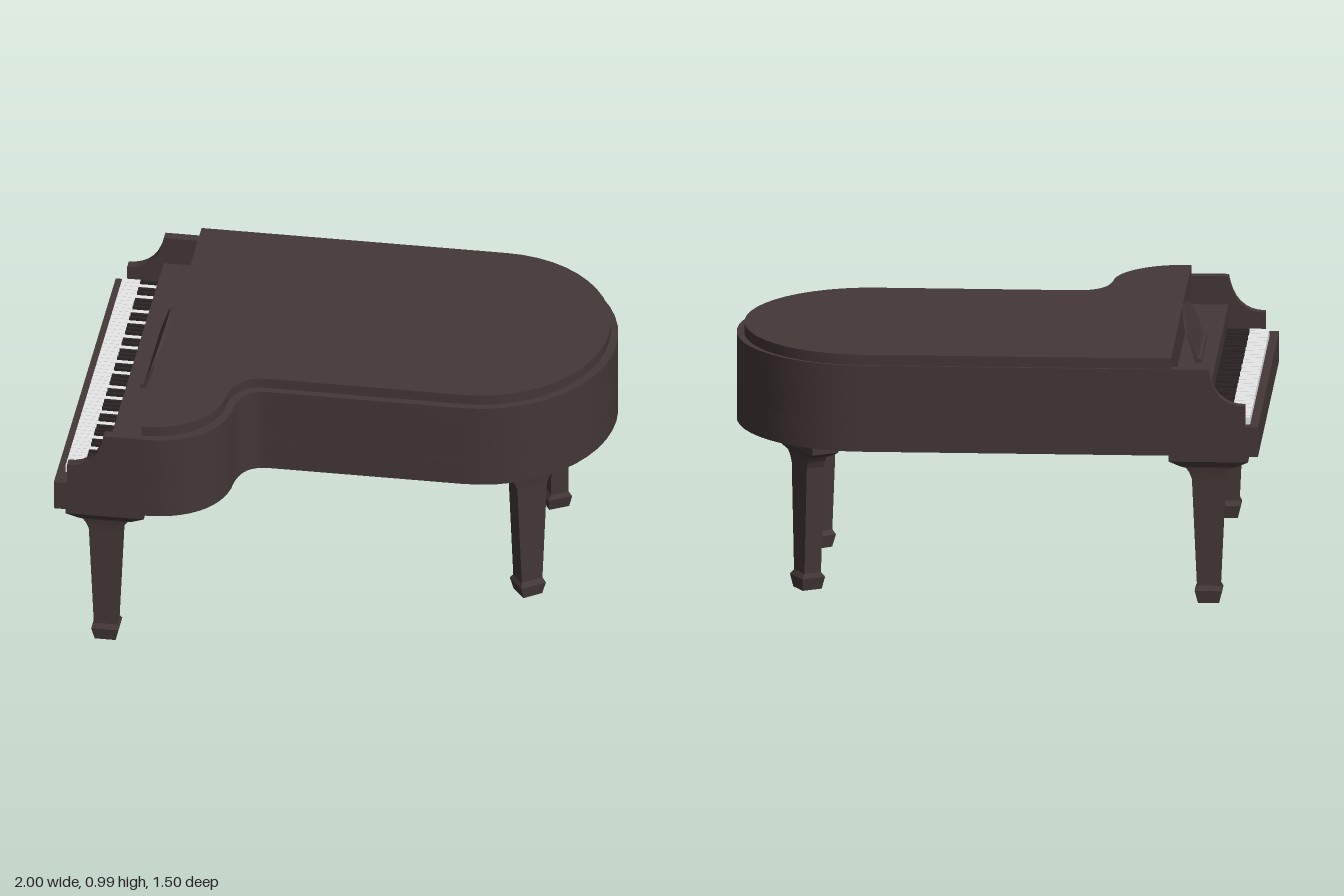
import * as THREE from 'three';
import { toCreasedNormals } from 'three/addons/utils/BufferGeometryUtils.js';

const mat = (name, color) => {
  const m = new THREE.MeshStandardMaterial({ color });
  m.name = name;
  return m;
};

// Plan outline of the case; side and rim are insets, drawn with y = -z
function plan(x0, side = 0, rim = 0) {
  const back = 0.75 - side, front = -0.335 + rim;
  const s = new THREE.Shape();
  s.moveTo(x0, -0.75 + rim);
  s.lineTo(-0.65, -0.75 + rim);
  s.bezierCurveTo(-0.5 - rim, -0.75 + rim, -0.38 - rim, -0.66 + rim, -0.36 - rim, -0.5 + rim / 2);
  s.bezierCurveTo(-0.355 - rim, -0.4 + rim, -0.33 - rim / 2, front, -0.24 - rim / 2, front);
  s.lineTo(0.5, front);
  s.absellipse(0.5, (back + front) / 2, 0.5 - rim, (back - front) / 2, -Math.PI / 2, Math.PI / 2, false, 0);
  s.lineTo(x0, back);
  s.closePath();
  return s;
}

// Upright slab from a plan outline
function slab(shape, y0, y1) {
  const g = new THREE.ExtrudeGeometry(shape, { depth: y1 - y0, bevelEnabled: false, curveSegments: 12 });
  g.rotateX(-Math.PI / 2).translate(0, y0, 0);
  return toCreasedNormals(g, 0.6);
}

// Rectangular loft through rows of [y, half length, half width], bottom first
function rectLoft(rows) {
  const pos = [], idx = [];
  for (const [y, a, b] of rows) pos.push(-a, y, b, a, y, b, a, y, -b, -a, y, -b);
  for (let i = 0; i < rows.length - 1; i++)
    for (let j = 0; j < 4; j++) {
      const p = i * 4 + j, q = i * 4 + (j + 1) % 4;
      idx.push(p, q, q + 4, p, q + 4, p + 4);
    }
  const t = (rows.length - 1) * 4;
  idx.push(0, 2, 1, 0, 3, 2, t, t + 1, t + 2, t, t + 2, t + 3);
  const g = new THREE.BufferGeometry();
  g.setAttribute('position', new THREE.Float32BufferAttribute(pos, 3));
  g.setIndex(idx);
  const flat = g.toNonIndexed();
  flat.computeVertexNormals();
  return flat;
}

export function createModel() {
  const group = new THREE.Group();
  const wood = mat('dark brown wood', 0x443737);
  const ivory = mat('ivory white', 0xf0f0f0);
  const ebony = mat('ebony', 0x2c2525);

  const add = (name, geo, material = wood, parent = group) => {
    const m = new THREE.Mesh(geo, material);
    m.name = name;
    parent.add(m);
    return m;
  };
  const box = (name, x0, x1, y0, y1, z0, z1, material, parent) => {
    const m = add(name, new THREE.BoxGeometry(x1 - x0, y1 - y0, z1 - z0), material, parent);
    m.position.set((x0 + x1) / 2, (y0 + y1) / 2, (z0 + z1) / 2);
    return m;
  };

  // Case, lid and the shelf behind the keys
  add('keyBed', slab(plan(-1), 0.585, 0.7));
  add('case', slab(plan(-0.67), 0.7, 0.92));
  add('lid', slab(plan(-0.67, 0.01, 0.03), 0.92, 0.96));
  box('shelf', -0.81, -0.67, 0.7, 0.81, -0.71, 0.71);

  // Curved cheeks at both ends of the keyboard
  const cheek = new THREE.Shape();
  cheek.moveTo(-0.95, 0.7);
  cheek.lineTo(-0.67, 0.7);
  cheek.lineTo(-0.67, 0.92);
  cheek.lineTo(-0.81, 0.92);
  cheek.bezierCurveTo(-0.825, 0.83, -0.87, 0.78, -0.95, 0.78);
  cheek.closePath();
  for (const [name, z] of [['leftCheek', 0.71], ['rightCheek', -0.75]]) {
    const g = new THREE.ExtrudeGeometry(cheek, { depth: 0.04, bevelEnabled: false, curveSegments: 8 });
    add(name, toCreasedNormals(g, 0.5)).position.z = z;
  }

  // Keyboard: 52 white keys, black keys following the octave pattern from A
  const keys = new THREE.Group();
  keys.name = 'keyboard';
  group.add(keys);
  const pitch = 1.38 / 52;
  for (let i = 0; i < 52; i++) {
    const z = -0.71 + i * pitch;
    box('whiteKey', -0.968, -0.81, 0.7, 0.728, z + 0.001, z + pitch - 0.001, ivory, keys);
    if ([0, 2, 3, 5, 6].includes(i % 7) && i < 51)
      box('blackKey', -0.895, -0.81, 0.728, 0.74, z + pitch - 0.006, z + pitch + 0.006, ebony, keys);
  }

  // Music stand leaning back on the shelf, with a small ledge
  const desk = new THREE.Shape();
  desk.moveTo(-0.2, 0);
  desk.lineTo(0.2, 0);
  desk.lineTo(0.2, 0.1);
  desk.bezierCurveTo(0.19, 0.14, 0.16, 0.145, 0.13, 0.158);
  desk.bezierCurveTo(0.06, 0.192, -0.06, 0.192, -0.13, 0.158);
  desk.bezierCurveTo(-0.16, 0.145, -0.19, 0.14, -0.2, 0.1);
  desk.closePath();
  const deskGeo = new THREE.ExtrudeGeometry(desk, { depth: 0.012, bevelEnabled: false, curveSegments: 8 });
  deskGeo.rotateY(-Math.PI / 2).rotateZ(-0.33);
  add('musicStand', toCreasedNormals(deskGeo, 0.5)).position.set(-0.735, 0.81, 0);
  box('musicLedge', -0.757, -0.735, 0.81, 0.825, -0.2, 0.2);

  // Tapered legs with spade feet and wide caps
  const legGeo = rectLoft([
    [0, 0.04, 0.04], [0.048, 0.052, 0.048], [0.066, 0.044, 0.035], [0.48, 0.063, 0.035],
    [0.505, 0.072, 0.037], [0.525, 0.085, 0.04], [0.53, 0.105, 0.042],
    [0.552, 0.15, 0.055], [0.587, 0.15, 0.055],
  ]);
  const legs = [
    ['keyboardLegLeft', -0.81, 0.67, 0], ['keyboardLegRight', -0.81, -0.655, 0],
    ['tailLegLeft', 0.712, 0.113, 0.64], ['tailLegRight', 0.715, -0.535, -1.05],
  ];
  for (const [name, x, z, turn] of legs) {
    const leg = add(name, legGeo);
    leg.position.set(x, 0, z);
    leg.rotation.y = turn;
  }
  return group;
}
